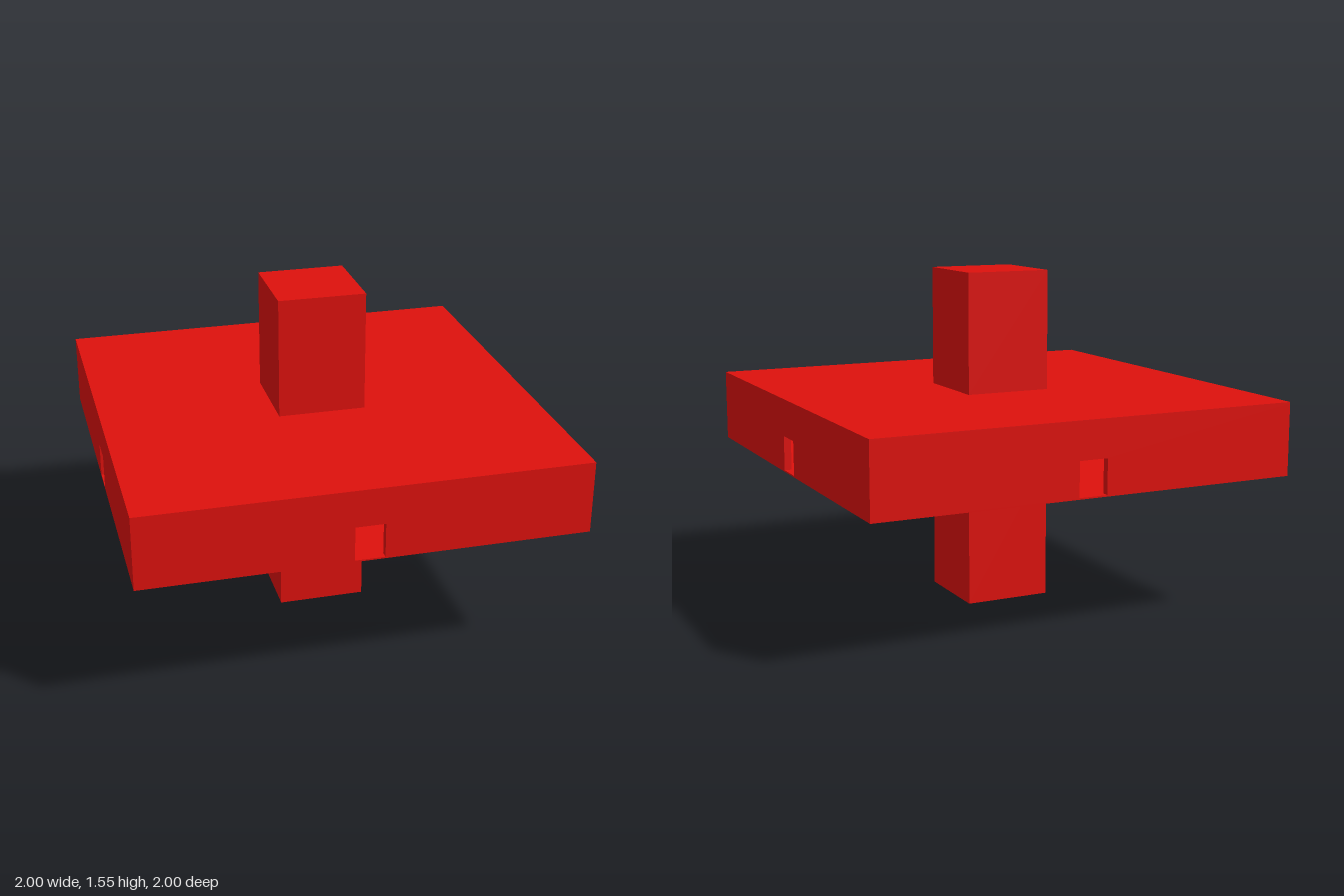
import * as THREE from 'three';

const red = new THREE.MeshStandardMaterial({ color: 0xdd110d });

// Heights and sizes of the hall
const BOTTOM = 0.657, TOP = 0.993, SHEET = 0.007, WALL = 0.033;
const DOOR_HALF = 0.067, DOOR_TOP = 0.822, POST = 0.404;

function box(name, w, y0, y1, d) {
  const mesh = new THREE.Mesh(new THREE.BoxGeometry(w, y1 - y0, d), red);
  mesh.name = name;
  mesh.position.y = (y0 + y1) / 2;
  return mesh;
}

// Wall outline with a doorway notched into its lower edge; ends are mitred to meet at the corners
function wallGeometry() {
  const y0 = BOTTOM + SHEET, y1 = TOP - SHEET;
  const shape = new THREE.Shape([
    [-1, y0], [-DOOR_HALF, y0], [-DOOR_HALF, DOOR_TOP], [DOOR_HALF, DOOR_TOP],
    [DOOR_HALF, y0], [1, y0], [1, y1], [-1, y1],
  ].map(([x, y]) => new THREE.Vector2(x, y)));
  const geometry = new THREE.ExtrudeGeometry(shape, { depth: WALL, bevelEnabled: false });
  geometry.translate(0, 0, 1 - WALL);
  const p = geometry.attributes.position;
  for (let i = 0; i < p.count; i++) {
    if (Math.abs(p.getX(i)) > 0.9) p.setX(i, Math.sign(p.getX(i)) * p.getZ(i));
  }
  geometry.computeVertexNormals();
  return geometry;
}

export function createModel() {
  const model = new THREE.Group();
  model.name = 'hallOnPost';

  // Thin floor and roof closing the hollow hall
  model.add(box('floor', 2, BOTTOM, BOTTOM + SHEET, 2));
  model.add(box('roof', 2, TOP - SHEET, TOP, 2));

  // Four walls, each with a doorway in the middle
  const geometry = wallGeometry();
  ['frontWall', 'leftWall', 'backWall', 'rightWall'].forEach((name, i) => {
    const wall = new THREE.Mesh(geometry, red);
    wall.name = name;
    wall.rotation.y = i * Math.PI / 2;
    model.add(wall);
  });

  // Square posts below and above the hall
  model.add(box('lowerPost', POST, 0, BOTTOM, POST));
  model.add(box('upperPost', POST, TOP, 1.55, POST));
  return model;
}
